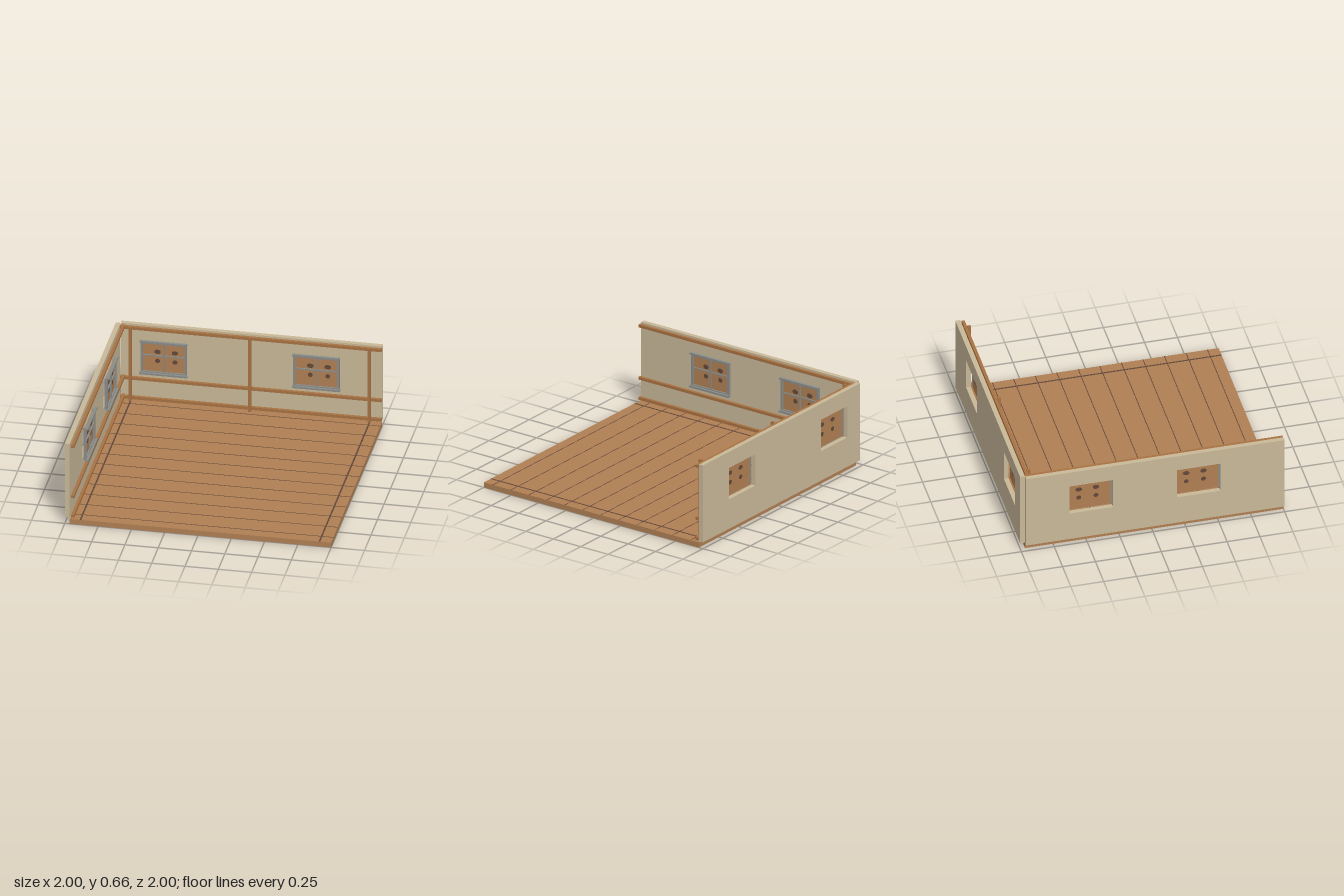
import * as THREE from 'three';

const mat = (name, color) => {
  const m = new THREE.MeshStandardMaterial({ color });
  m.name = name;
  return m;
};

export function createModel() {
  const wood = mat('floor wood', 0xb07f53);
  const beam = mat('beam wood', 0xa87242);
  const plaster = mat('plaster', 0xc9b898);
  const grey = mat('window grey', 0x8a8c88);
  const dark = mat('dark brown', 0x64483a);

  const model = new THREE.Group();
  model.name = 'roomCorner';

  // Box given by its min and max corners
  function box(parent, name, material, x0, x1, y0, y1, z0, z1) {
    const mesh = new THREE.Mesh(new THREE.BoxGeometry(x1 - x0, y1 - y0, z1 - z0), material);
    mesh.position.set((x0 + x1) / 2, (y0 + y1) / 2, (z0 + z1) / 2);
    mesh.name = name;
    parent.add(mesh);
    return mesh;
  }

  // Floor with plank seams and two cross joints
  const floor = new THREE.Group();
  floor.name = 'floor';
  model.add(floor);
  box(floor, 'floorSlab', wood, -0.963, 1, 0, 0.04, -0.963, 1);
  for (let i = 0; i < 12; i++) {
    const z = -0.885 + i * 0.1637;
    box(floor, 'plankSeam', dark, -0.963, 1, 0.039, 0.0412, z - 0.003, z + 0.003);
  }
  for (const x of [-0.883, 0.912]) {
    box(floor, 'crossJoint', dark, x - 0.006, x + 0.006, 0.039, 0.0416, -0.963, 1);
  }

  // Window: painted pane with knots, frame, glazing bars, header and sill
  function addWindow(parent, u) {
    const win = new THREE.Group();
    win.name = 'window';
    win.position.x = u;
    parent.add(win);
    box(win, 'pane', wood, -0.16, 0.16, 0.285, 0.535, -0.951, -0.947);
    for (const x of [-0.047, 0.084]) {
      for (const [y, rx, ry] of [[0.383, 0.019, 0.018], [0.458, 0.025, 0.018]]) {
        const knot = new THREE.Mesh(new THREE.CylinderGeometry(1, 1, 1, 10), dark);
        knot.rotation.x = Math.PI / 2;
        knot.scale.set(rx, 0.008, ry);
        knot.position.set(x, y, -0.949);
        knot.name = 'knot';
        win.add(knot);
      }
    }
    for (const s of [-1, 1]) {
      box(win, 'frameSide', grey, s * 0.165 - 0.008, s * 0.165 + 0.008, 0.285, 0.54, -0.953, -0.932);
    }
    box(win, 'frameTop', grey, -0.16, 0.16, 0.525, 0.54, -0.945, -0.932);
    box(win, 'frameBottom', grey, -0.16, 0.16, 0.285, 0.297, -0.945, -0.932);
    box(win, 'verticalBar', grey, -0.005, 0.005, 0.29, 0.535, -0.945, -0.935);
    box(win, 'horizontalBar', grey, -0.16, 0.16, 0.424, 0.434, -0.945, -0.935);
    box(win, 'header', grey, -0.178, 0.178, 0.536, 0.55, -0.94, -0.918);
    box(win, 'sill', grey, -0.18, 0.18, 0.275, 0.289, -0.94, -0.915);
  }

  // Wall with window openings and three rails, built facing +z
  function addWall(name, u0, u1, windows) {
    const wall = new THREE.Group();
    wall.name = name;
    model.add(wall);
    const shape = new THREE.Shape();
    shape.moveTo(u0, 0.05).lineTo(u1, 0.05).lineTo(u1, 0.663).lineTo(u0, 0.663).closePath();
    for (const u of windows) {
      const hole = new THREE.Path();
      hole.moveTo(u - 0.165, 0.285).lineTo(u - 0.165, 0.535)
        .lineTo(u + 0.165, 0.535).lineTo(u + 0.165, 0.285).closePath();
      shape.holes.push(hole);
      addWindow(wall, u);
    }
    const panel = new THREE.Mesh(
      new THREE.ExtrudeGeometry(shape, { depth: 0.036, bevelEnabled: false }), plaster);
    panel.position.z = -1;
    panel.name = 'wallPanel';
    wall.add(panel);
    for (const y of [0.065, 0.226, 0.643]) {
      box(wall, 'rail', beam, u0, u1, y - 0.011, y + 0.011, -0.953, -0.93);
    }
    return wall;
  }

  const backWall = addWall('backWall', -0.963, 1, [-0.637, 0.51]);
  const sideWall = addWall('sideWall', -1, 0.963, [-0.348, 0.468]);
  sideWall.rotation.y = Math.PI / 2;

  // Upright posts in front of the back rails
  for (const x of [-0.884, 0.014, 0.912]) {
    box(backWall, 'post', beam, x - 0.011, x + 0.011, 0.05, 0.663, -0.93, -0.905);
  }

  return model;
}
